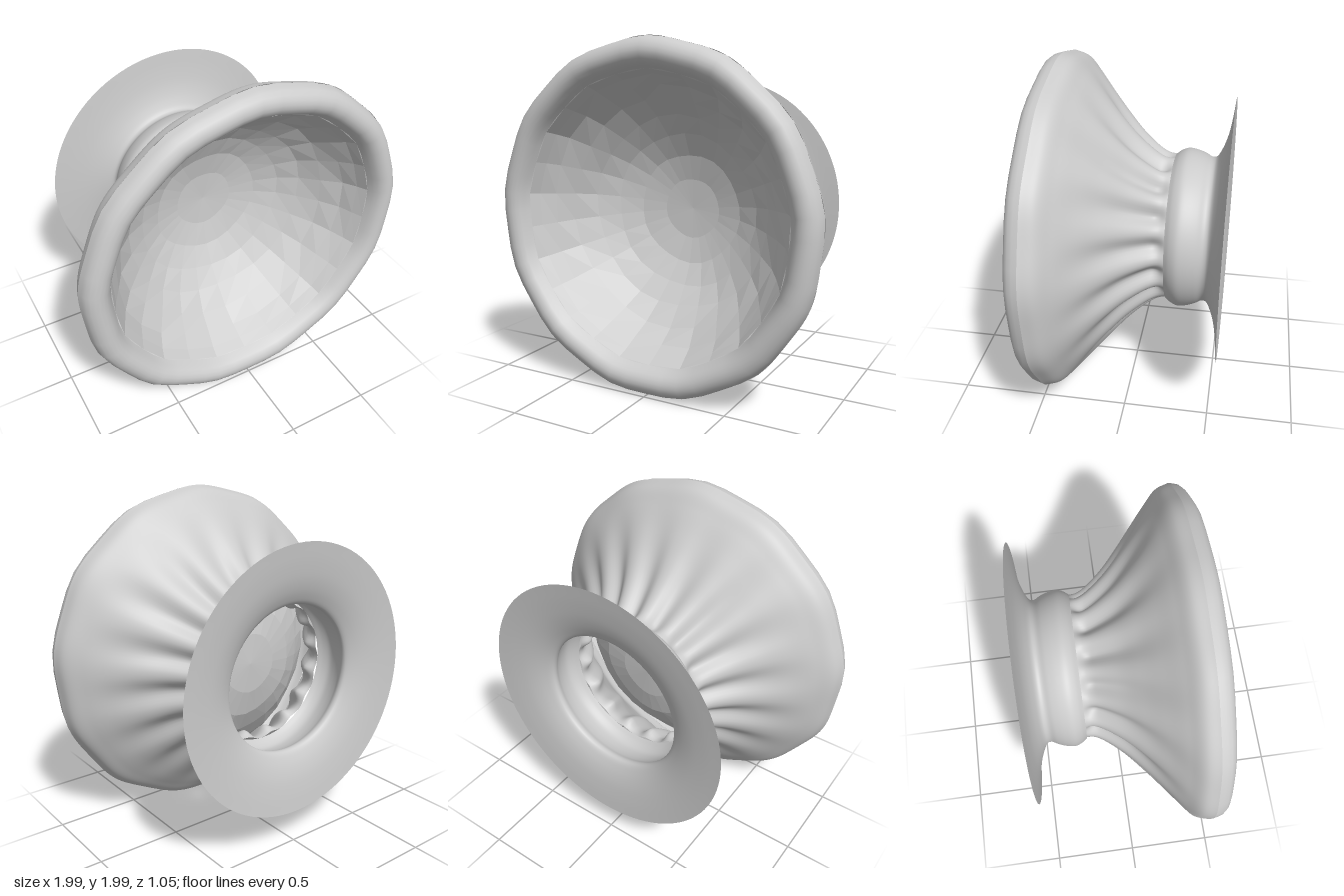
import * as THREE from 'three';
import { mergeVertices } from 'three/addons/utils/BufferGeometryUtils.js';

const FLUTES = 16;
const SIDES = 13;

// Spline through [radius, z] points, as a dense lathe profile.
function profile(points, count) {
  const curve = new THREE.CatmullRomCurve3(points.map(([r, z]) => new THREE.Vector3(r, z, 0)));
  return curve.getPoints(count).map((p) => new THREE.Vector2(Math.max(p.x, 0), p.y));
}

// Lathe turned about z, with its radius changed by rule(angle, r, z).
function turned(points, segments, rule) {
  const geo = new THREE.LatheGeometry(points, segments);
  geo.rotateX(Math.PI / 2);
  const pos = geo.attributes.position;
  for (let i = 0; i < pos.count; i++) {
    const x = pos.getX(i), y = pos.getY(i), z = pos.getZ(i);
    const r = Math.hypot(x, y);
    if (r < 1e-5) continue;
    const k = rule(Math.atan2(x, y), r, z) / r;
    pos.setXY(i, x * k, y * k);
  }
  geo.deleteAttribute('uv');
  geo.deleteAttribute('normal');
  const welded = mergeVertices(geo, 1e-5);
  welded.computeVertexNormals();
  return welded;
}

const smooth = THREE.MathUtils.smoothstep;

// Pleats: rounded lobes with hollows that fade out at the neck and the rim.
function pleat(a, r, z) {
  const fade = smooth(z, -0.25, -0.13) * (1 - smooth(z, 0.02, 0.34));
  const wave = 0.5 - 0.5 * Math.cos(FLUTES * a + 0.6);
  return r - 0.055 * fade * Math.pow(wave, 1.3);
}

// Slightly many-sided rim.
function wobble(a, z) {
  return 1 - 0.012 * smooth(z, 0.15, 0.4) * (0.5 - 0.5 * Math.cos(SIDES * a));
}

export function createModel() {
  const group = new THREE.Group();
  const add = (name, geo, flatShading) => {
    const mesh = new THREE.Mesh(geo, new THREE.MeshStandardMaterial({
      color: 0xcccccc, side: THREE.DoubleSide, flatShading,
    }));
    mesh.name = name;
    mesh.position.y = 1;
    group.add(mesh);
  };

  // Thin flange and collar of the neck
  const neck = profile([
    [0.775, -0.533], [0.66, -0.52], [0.56, -0.502], [0.48, -0.475], [0.43, -0.445],
    [0.425, -0.42], [0.445, -0.38], [0.462, -0.33], [0.468, -0.28], [0.453, -0.24],
    [0.43, -0.21],
  ], 48);
  add('neckFlange', turned(neck, 96, (a, r) => r), false);

  // Pleated outer shell
  const shell = profile([
    [0.43, -0.21], [0.435, -0.17], [0.46, -0.12], [0.55, -0.01], [0.67, 0.1],
    [0.79, 0.2], [0.9, 0.29], [0.975, 0.36], [1.0, 0.43],
  ], 60);
  add('pleatedShell', turned(shell, FLUTES * 12, (a, r, z) => pleat(a, r, z) * wobble(a, z)), false);

  // Rounded rim
  const rim = profile([
    [1.0, 0.43], [0.985, 0.485], [0.945, 0.517], [0.9, 0.52], [0.86, 0.495], [0.83, 0.44],
  ], 10);
  add('rim', turned(rim, SIDES * 4, (a, r, z) => r * wobble(a, z)), false);

  // Faceted bowl, closed at the back
  const bowl = [
    [0, -0.09], [0.18, -0.08], [0.33, -0.045], [0.46, 0.02], [0.57, 0.1],
    [0.67, 0.2], [0.75, 0.3], [0.8, 0.38], [0.83, 0.44],
  ].map(([r, z]) => new THREE.Vector2(r, z));
  add('bowl', turned(bowl, SIDES * 2, (a, r, z) =>
    r * wobble(a, z) * (1 + 0.015 * Math.sin(5 * a + 20 * z) * (1 - smooth(z, 0.25, 0.42)))), true);

  return group;
}
